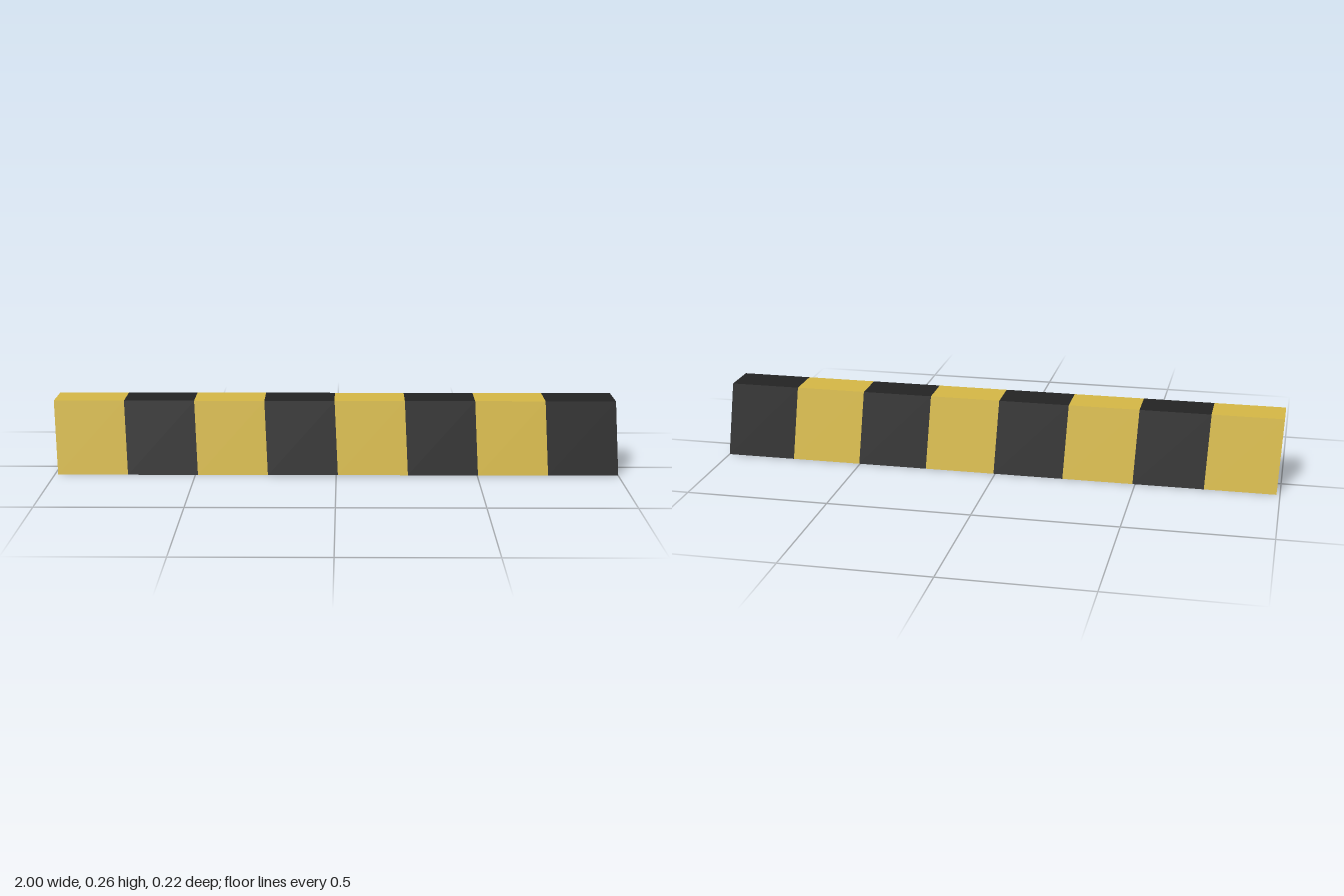
import * as THREE from 'three';

const COUNT = 8, LENGTH = 1.988, HEIGHT = 0.26;
const BOTTOM = 0.109, TOP = 0.065; // half depths
const SLANT = 0.006; // lean of the bar toward -x at the top

// One stripe of the tapered bar; only the outer stripes keep their end face
function stripeGeometry(i) {
  const w = LENGTH / COUNT;
  const g = new THREE.BoxGeometry(w, HEIGHT, 2);
  g.translate(-LENGTH / 2 + w * (i + 0.5), HEIGHT / 2, 0);
  const p = g.attributes.position;
  for (let k = 0; k < p.count; k++) {
    const t = p.getY(k) / HEIGHT;
    p.setX(k, p.getX(k) + SLANT * (1 - 2 * t));
    p.setZ(k, p.getZ(k) * THREE.MathUtils.lerp(BOTTOM, TOP, t));
  }
  const index = Array.from(g.index.array);
  const right = i === COUNT - 1 ? index.slice(0, 6) : [];
  const left = i === 0 ? index.slice(6, 12) : [];
  g.setIndex([...right, ...left, ...index.slice(12)]);
  g.clearGroups();
  g.computeVertexNormals();
  return g;
}

export function createModel() {
  const yellow = new THREE.MeshStandardMaterial({ color: 0xd4b745 });
  yellow.name = 'yellow';
  const black = new THREE.MeshStandardMaterial({ color: 0x232323 });
  black.name = 'black';

  const barrier = new THREE.Group();
  barrier.name = 'stripedBarrier';
  // Alternating stripes, yellow at the -x end
  for (let i = 0; i < COUNT; i++) {
    const stripe = new THREE.Mesh(stripeGeometry(i), i % 2 ? black : yellow);
    stripe.name = (i % 2 ? 'blackStripe' : 'yellowStripe') + (Math.floor(i / 2) + 1);
    barrier.add(stripe);
  }
  return barrier;
}
